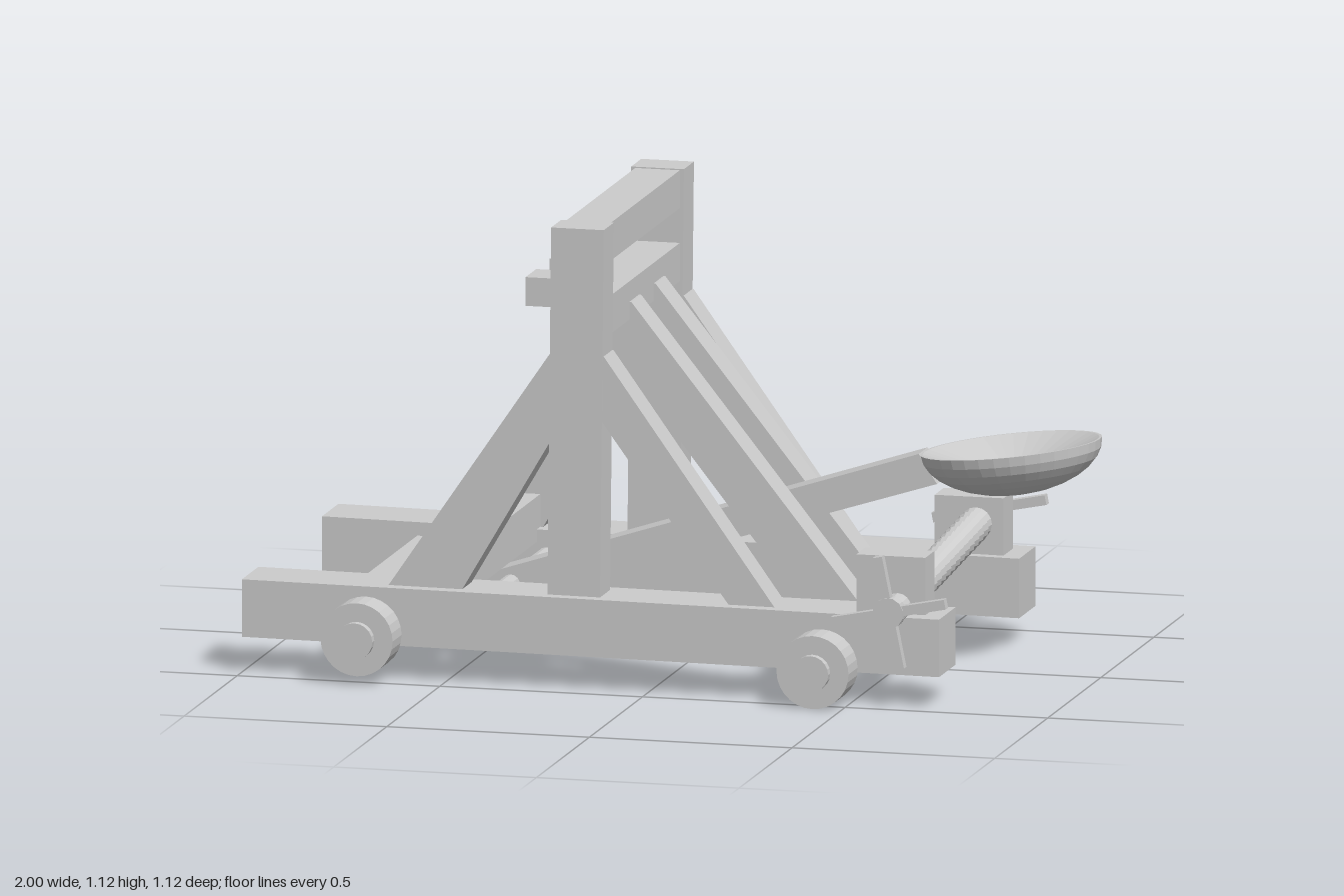
import * as THREE from 'three';

export function createModel() {
  const model = new THREE.Group();
  const flat = new THREE.MeshStandardMaterial({ color: 0xcccccc, flatShading: true });

  const add = (name, geometry, x = 0, y = 0, z = 0, parent = model) => {
    const mesh = new THREE.Mesh(geometry, flat);
    mesh.name = name;
    mesh.position.set(x, y, z);
    parent.add(mesh);
    return mesh;
  };
  // Box given by its limits on each axis
  const beam = (name, x0, x1, y0, y1, z0, z1) =>
    add(name, new THREE.BoxGeometry(x1 - x0, y1 - y0, z1 - z0), (x0 + x1) / 2, (y0 + y1) / 2, (z0 + z1) / 2);
  // Side outline (x, y) extruded from z0 to z1
  const slab = (name, points, z0, z1) => {
    const shape = new THREE.Shape(points.map(([x, y]) => new THREE.Vector2(x, y)));
    return add(name, new THREE.ExtrudeGeometry(shape, { depth: z1 - z0, bevelEnabled: false }), 0, 0, z0);
  };
  // Same part on both sides
  const sides = (z0, z1, build) => { build(z0, z1); build(-z1, -z0); };

  // Chassis rails, slightly uneven
  slab('leftRail', [[-1, 0.09], [0.72, 0.08], [0.72, 0.22], [-1, 0.23]], 0.3, 0.455);
  slab('rightRail', [[-1, 0.09], [0.72, 0.075], [0.72, 0.22], [-1, 0.235]], -0.455, -0.3);
  beam('rearCrossBeam', -0.765, -0.61, 0.1, 0.2, -0.31, 0.31);
  beam('frontCrossBeam', 0.305, 0.46, 0.1, 0.19, -0.31, 0.31);
  beam('raisedCrossBeam', -0.58, -0.47, 0.2, 0.31, -0.335, 0.335);

  // Upright frame with triangular braces
  sides(0.33, 0.425, (a, b) => {
    slab('post', [[-0.255, 0.15], [-0.125, 0.15], [-0.115, 1.12], [-0.245, 1.12]], a, b);
    slab('rearBrace', [[-0.7, 0.15], [-0.51, 0.15], [-0.2, 0.68], [-0.2, 0.82], [-0.25, 0.81]], a + 0.003, b - 0.003);
    slab('frontBrace', [[0.245, 0.15], [0.357, 0.15], [-0.115, 0.81], [-0.17, 0.81], [-0.17, 0.72]], a + 0.003, b - 0.003);
  });
  beam('topBeam', -0.235, -0.125, 1.025, 1.117, -0.34, 0.34);
  beam('stopBeam', -0.235, -0.125, 0.847, 0.94, -0.34, 0.34);

  // Twin struts and the blocks behind the stop beam
  for (const z of [0.1, -0.128]) {
    slab('strut', [[0.295, 0.185], [0.443, 0.185], [-0.12, 0.89], [-0.2, 0.89], [-0.2, 0.81]], z - 0.046, z + 0.046);
    beam('stopBlock', -0.38, -0.23, 0.868, 0.938, z - 0.05, z + 0.05);
  }

  // Wheels with hubs
  for (const [x, y] of [[-0.695, 0.115], [0.43, 0.093]]) {
    for (const s of [1, -1]) {
      const wheel = new THREE.Group();
      wheel.name = 'wheel';
      wheel.position.set(x, y, 0);
      model.add(wheel);
      add('tyre', new THREE.CylinderGeometry(0.089, 0.089, 0.09, 28), 0, 0, s * 0.495, wheel).rotation.x = Math.PI / 2;
      add('hub', new THREE.CylinderGeometry(0.044, 0.044, 0.06, 20), 0, 0, s * 0.53, wheel).rotation.x = Math.PI / 2;
    }
  }

  // Throwing arm on its pivot rod
  add('pivotRod', new THREE.CylinderGeometry(0.023, 0.023, 0.62, 14), -0.447, 0.165, 0).rotation.x = Math.PI / 2;
  slab('throwingArm', [[-0.46, 0.125], [0.605, 0.462], [0.56, 0.533], [-0.47, 0.2]], -0.048, 0.035);

  // Oval scoop: rounded outside, conical inside
  const profile = [];
  for (let i = 0; i <= 8; i++) {
    const a = (i / 8) * Math.PI / 2;
    profile.push(new THREE.Vector2(Math.sin(a), -0.118 * Math.cos(a)));
  }
  profile.push(new THREE.Vector2(0.97, 0), new THREE.Vector2(0, -0.08));
  const scoop = add('scoop', new THREE.LatheGeometry(profile, 36), 0.777, 0.557, -0.006);
  scoop.scale.set(0.222, 1, 0.171);
  scoop.rotation.z = 0.125;

  // Winch: tilted roller wrapped in stepped coils
  const roller = [[0, -0.485], [0.033, -0.485], [0.033, -0.33]];
  const coils = 15, pitch = 0.66 / coils;
  for (let i = 0; i < coils; i++) {
    const y = -0.33 + i * pitch;
    roller.push([0.034, y + 0.002], [0.041, y + pitch - 0.002]);
  }
  roller.push([0.033, 0.33], [0.033, 0.485], [0, 0.485]);
  const winch = add('winchRoller',
    new THREE.LatheGeometry(roller.map(([r, y]) => new THREE.Vector2(r, y)), 16), 0.607, 0.27, -0.006);
  winch.rotation.x = -(Math.PI / 2 - 0.077);
  sides(0.325, 0.412, (a, b) => beam('winchBearing', 0.505, 0.675, 0.2, 0.36, a, b));

  // Four-spoked turning handles at both roller ends
  for (const [y, z] of [[0.235, 0.472], [0.303, -0.478]]) {
    const handle = new THREE.Group();
    handle.name = 'winchHandle';
    handle.position.set(0.602, y, z);
    handle.rotation.z = 0.2;
    model.add(handle);
    add('handleHub', new THREE.CylinderGeometry(0.038, 0.038, 0.03, 12), 0, 0, 0, handle).rotation.x = Math.PI / 2;
    add('spoke', new THREE.BoxGeometry(0.285, 0.024, 0.024), 0, 0, 0, handle);
    add('spoke', new THREE.BoxGeometry(0.024, 0.275, 0.024), 0, 0, 0, handle);
  }

  return model;
}
